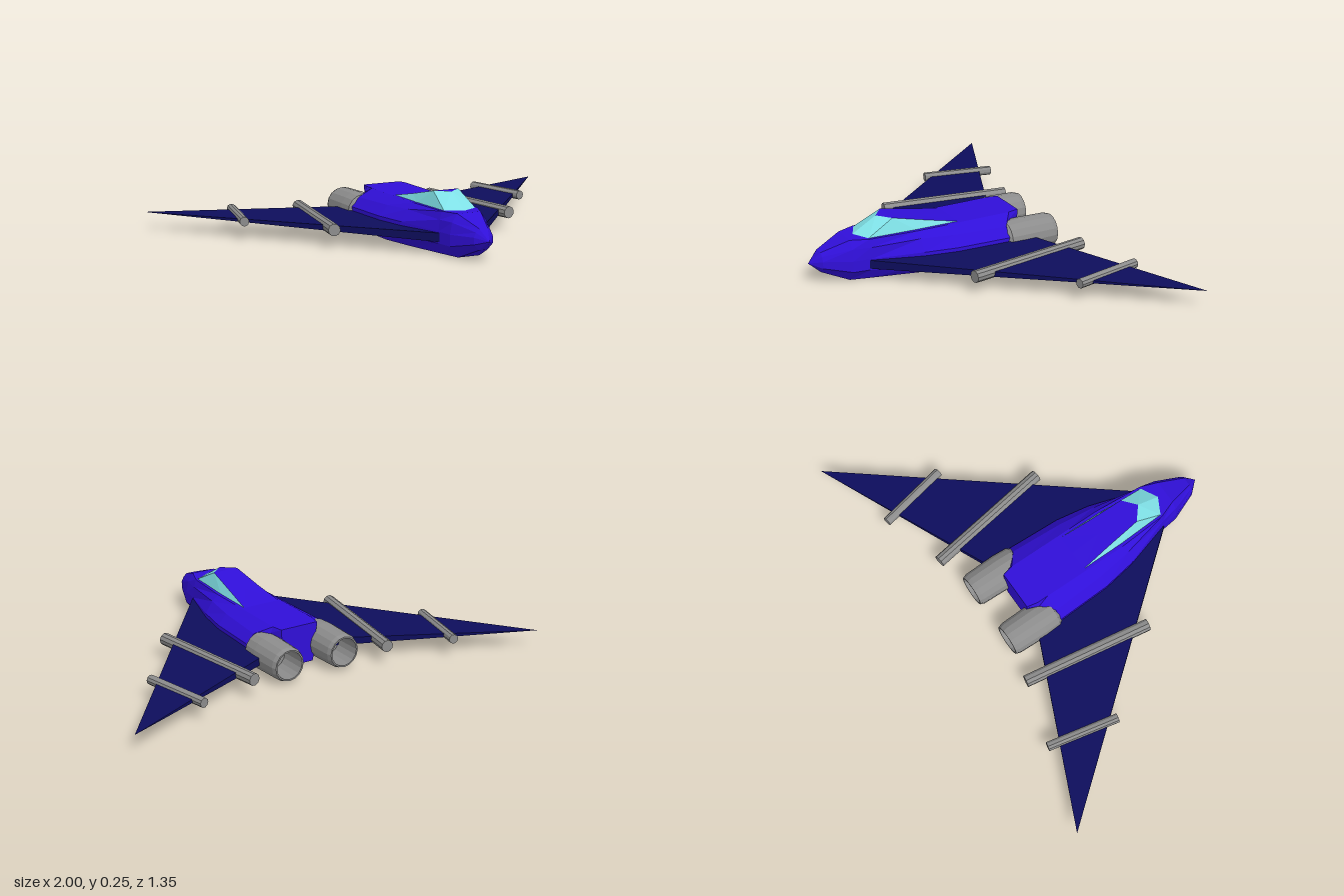
import * as THREE from 'three';
import { ConvexGeometry } from 'three/addons/geometries/ConvexGeometry.js';

const mat = (name, color, extra = {}) => {
  const m = new THREE.MeshStandardMaterial({ color, flatShading: true, ...extra });
  m.name = name;
  return m;
};

// Flat-shaded geometry from a list of triangles, each three [x, y, z] corners
function fromTriangles(tris) {
  const g = new THREE.BufferGeometry();
  g.setAttribute('position', new THREE.Float32BufferAttribute(tris.flat(2), 3));
  g.computeVertexNormals();
  return g;
}

// Loft from nose to tail; each section lists half-outline points from top to bottom
function loft(sections) {
  const rings = sections.map(({ z, p }) => [
    ...p.map(([x, y]) => [x, y, z]),
    ...[...p].reverse().map(([x, y]) => [-x, y, z]),
  ]);
  const tris = [];
  const n = rings[0].length;
  for (let i = 0; i < rings.length - 1; i++) {
    const a = rings[i], b = rings[i + 1];
    for (let j = 0; j < n; j++) {
      const k = (j + 1) % n;
      if (i > 0) tris.push([a[j], a[k], b[j]]);
      tris.push([a[k], b[k], b[j]]);
    }
  }
  const end = rings[rings.length - 1];
  for (let j = 1; j < n - 1; j++) tris.push([end[0], end[j], end[j + 1]]);
  return fromTriangles(tris);
}

export function createModel() {
  const model = new THREE.Group();
  model.name = 'spaceFighter';
  const hull = mat('hullBlue', 0x300fd8, { side: THREE.DoubleSide });
  const navy = mat('wingNavy', 0x0d0d5c);
  const glass = mat('canopyGlass', 0x80e2e8, { side: THREE.DoubleSide });
  const grey = mat('metalGrey', 0x8c8c8c, { side: THREE.DoubleSide });
  const add = (name, geo, m) => {
    const mesh = new THREE.Mesh(geo, m);
    mesh.name = name;
    model.add(mesh);
    return mesh;
  };

  // Fuselage: faceted nose, widening flanks, chamfered tail
  const tip = Array(5).fill([0, 0.092]);
  add('fuselage', loft([
    { z: 0.67, p: tip },
    { z: 0.62, p: [[0.02, 0.14], [0.035, 0.125], [0.045, 0.105], [0.045, 0.075], [0.02, 0.05]] },
    { z: 0.5, p: [[0.055, 0.185], [0.08, 0.15], [0.09, 0.1], [0.09, 0.05], [0.05, 0]] },
    { z: 0.42, p: [[0.085, 0.185], [0.095, 0.15], [0.1, 0.1], [0.1, 0.05], [0.07, 0]] },
    { z: 0.2, p: [[0.1, 0.185], [0.13, 0.16], [0.165, 0.11], [0.165, 0.05], [0.12, 0]] },
    { z: 0.05, p: [[0.1, 0.185], [0.15, 0.155], [0.19, 0.11], [0.19, 0.05], [0.155, 0.003]] },
    { z: -0.2, p: [[0.1, 0.185], [0.165, 0.15], [0.2, 0.11], [0.2, 0.05], [0.16, 0.005]] },
    { z: -0.25, p: [[0.1, 0.185], [0.11, 0.16], [0.11, 0.11], [0.11, 0.05], [0.09, 0.005]] },
    { z: -0.3, p: [[0.09, 0.185], [0.09, 0.165], [0.08, 0.11], [0.08, 0.05], [0.07, 0.01]] },
  ]), hull);

  // Canopy: V-fronted glass under a sloping roof
  const glassTris = [], roofTris = [];
  const roofFront = [0, 0.25, 0.35];
  for (const s of [1, -1]) {
    const base = [0, 0.186, 0.46], corner = [s * 0.075, 0.186, 0.42];
    const baseMid = [s * 0.086, 0.186, 0.2], back = [s * 0.088, 0.186, 0];
    const roofSide = [s * 0.06, 0.25, 0.3], roofMid = [s * 0.073, 0.214, 0.14];
    const put = (list, a, b, c) => list.push(s > 0 ? [a, b, c] : [a, c, b]);
    put(glassTris, base, corner, roofFront);
    put(glassTris, corner, roofSide, roofFront);
    put(glassTris, corner, baseMid, roofSide);
    put(glassTris, baseMid, roofMid, roofSide);
    put(glassTris, baseMid, back, roofMid);
    const midC = [0, 0.214, 0.14], ridge = [0, 0.25, 0.3], backC = [0, 0.187, 0];
    put(roofTris, roofFront, roofSide, ridge);
    put(roofTris, ridge, roofSide, roofMid);
    put(roofTris, ridge, roofMid, midC);
    put(roofTris, midC, roofMid, back);
    put(roofTris, midC, back, backC);
  }
  add('canopyGlass', fromTriangles(glassTris), glass);
  add('canopyRoof', fromTriangles(roofTris), hull);

  // Engine profile: tapered shell, rolled lip, deep hollow nozzle (radius, distance aft)
  const nozzle = [[0, 0], [0.06, 0], [0.076, 0.02], [0.08, 0.09], [0.076, 0.23],
    [0.069, 0.25], [0.062, 0.25], [0.06, 0.12], [0, 0.12]].map(([r, d]) => new THREE.Vector2(r, d));

  // Rod between two points
  const rod = (name, front, rear, r) => {
    const a = new THREE.Vector3(...front), b = new THREE.Vector3(...rear);
    const mesh = add(name, new THREE.CylinderGeometry(r, r, a.distanceTo(b), 10), grey);
    mesh.position.copy(a).add(b).multiplyScalar(0.5);
    mesh.quaternion.setFromUnitVectors(new THREE.Vector3(0, 1, 0), a.sub(b).normalize());
  };

  for (const [s, side] of [[1, 'left'], [-1, 'right']]) {
    // Swept wing: blunt root tapering to a point
    add(side + 'Wing', new ConvexGeometry([
      [0.085, 0.056, 0.445], [0.085, 0.095, 0.445],
      [0.085, 0.056, -0.265], [0.085, 0.095, -0.265], [1, 0.077, -0.675],
    ].map(([x, y, z]) => new THREE.Vector3(s * x, y, z))), navy);

    // Engine
    const engine = add(side + 'Engine', new THREE.LatheGeometry(nozzle, 16), grey);
    engine.rotation.x = -Math.PI / 2;
    engine.position.set(s * 0.138, 0.083, -0.19);

    // Wing cannons, splayed outward toward the front
    rod(side + 'InnerCannon', [s * 0.428, 0.08, 0.103], [s * 0.335, 0.08, -0.478], 0.027);
    rod(side + 'OuterCannon', [s * 0.693, 0.079, -0.247], [s * 0.625, 0.079, -0.565], 0.021);
  }
  return model;
}
